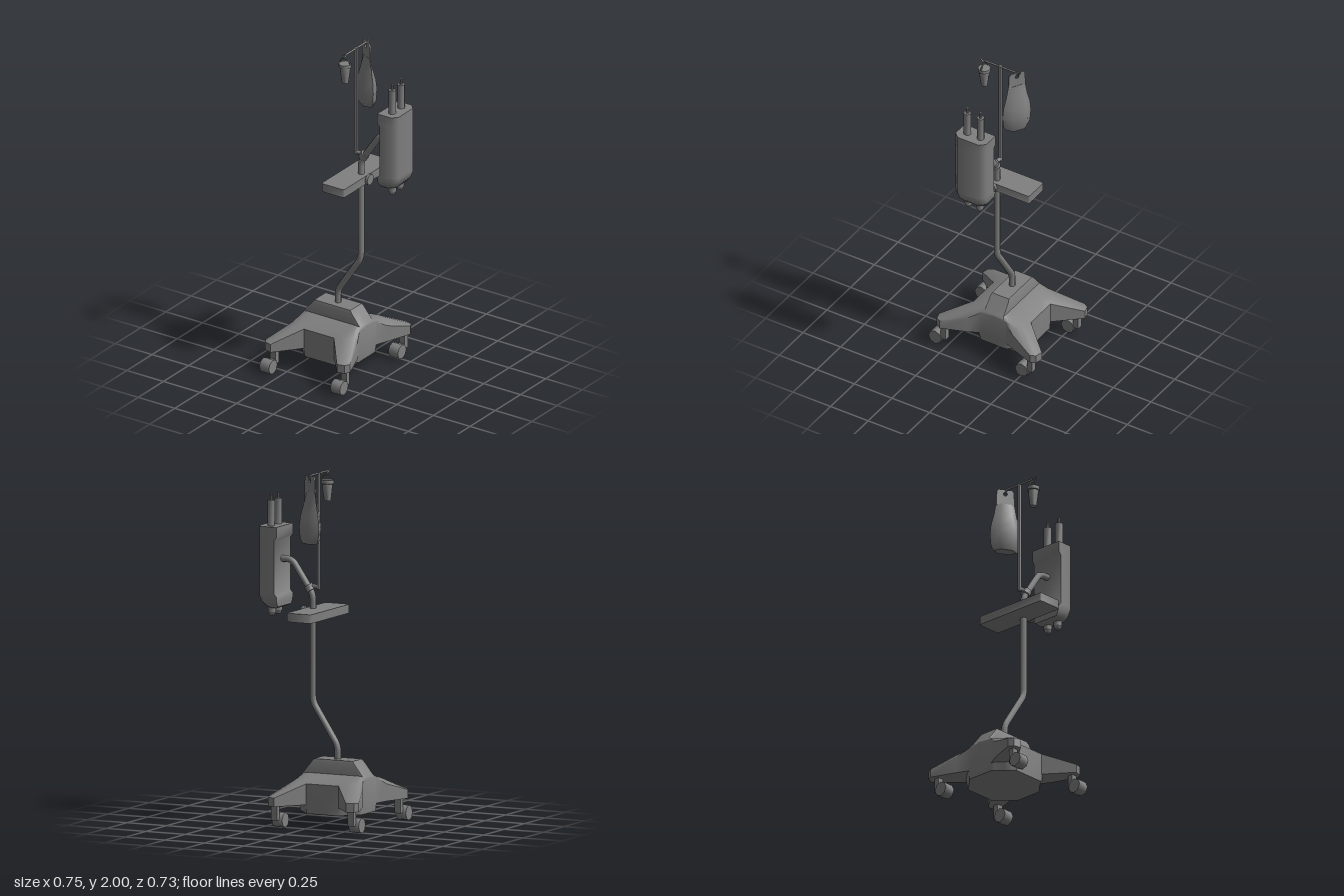
import * as THREE from 'three';
import { toCreasedNormals } from 'three/addons/utils/BufferGeometryUtils.js';

const V = (x, y, z) => new THREE.Vector3(x, y, z);
const material = new THREE.MeshStandardMaterial({ color: 0x808080 });
const thin = new THREE.MeshStandardMaterial({ color: 0x808080, side: THREE.DoubleSide });

// Skins closed rings (counter-clockwise from above, bottom to top) and caps both ends.
function loft(rings, crease = 0.9) {
  const n = rings[0].length, pos = [], idx = [];
  rings.forEach(r => r.forEach(p => pos.push(p.x, p.y, p.z)));
  for (let k = 0; k < rings.length - 1; k++) {
    for (let i = 0; i < n; i++) {
      const j = (i + 1) % n, a = k * n, b = a + n;
      idx.push(a + i, a + j, b + j, a + i, b + j, b + i);
    }
  }
  for (const k of [0, rings.length - 1]) {
    const c = rings[k].reduce((s, p) => s.add(p), V(0, 0, 0)).divideScalar(n);
    const ci = pos.length / 3;
    pos.push(c.x, c.y, c.z);
    for (let i = 0; i < n; i++) {
      const a = k * n + i, b = k * n + (i + 1) % n;
      if (k) idx.push(ci, a, b); else idx.push(ci, b, a);
    }
  }
  const g = new THREE.BufferGeometry();
  g.setAttribute('position', new THREE.Float32BufferAttribute(pos, 3));
  g.setIndex(idx);
  return toCreasedNormals(g.toNonIndexed(), crease);
}

// Mirrors a quarter outline [u, w, y], running from the z axis to the x axis, into a full ring.
function fullRing(q) {
  const back = [...q].reverse().slice(1);
  const half = [...q, ...back.map(([u, w, y]) => [u, -w, y])];
  const other = half.slice(1, -1).reverse().map(([u, w, y]) => [-u, w, y]);
  return [...half, ...other].map(([u, w, y]) => V(u, y, w));
}

export function createModel() {
  const root = new THREE.Group();
  const add = (name, geometry, x = 0, y = 0, z = 0, mat = material) => {
    const m = new THREE.Mesh(geometry, mat);
    m.name = name;
    m.position.set(x, y, z);
    root.add(m);
    return m;
  };
  const cyl = (name, r1, r2, h, x, y, z, sides = 8) =>
    add(name, toCreasedNormals(new THREE.CylinderGeometry(r1, r2, h, sides).toNonIndexed(), 0.9), x, y, z);
  const rod = (name, points, r, sides = 8) => {
    const path = new THREE.CurvePath();
    for (let i = 1; i < points.length; i++) path.add(new THREE.LineCurve3(points[i - 1], points[i]));
    return add(name, new THREE.TubeGeometry(path, (points.length - 1) * 6, r, sides), 0, 0, 0, thin);
  };
  const CX = -0.0875, CZ = -0.02;

  // Four-legged base cover: belly flush with the four side panels, legs, shoulder and hump
  const belly = [[0, .188, .08], [.1, .188, .08], [.125, .16, .08], [.145, .137, .08],
    [.165, .115, .08], [.185, .095, .08], [.196, .083, .08], [.196, 0, .08]];
  const legRoot = [[0, .19, .125], [.1025, .19, .125], [.135, .17, .128], [.155, .147, .128],
    [.175, .125, .128], [.19, .105, .128], [.2, .085, .125], [.2, 0, .125]];
  const edge = [[0, .19, .25], [.1025, .19, .25], [.2275, .342, .18], [.272, .33, .18],
    [.2875, .30, .18], [.2325, .15, .228], [.2, .085, .27], [.2, 0, .28]];
  const hem = edge.map(([u, w]) => [u, w, .13]);
  const shoulder = [[0, .13, .275], [.095, .14, .275], [.15, .18, .262], [.175, .18, .26],
    [.2, .155, .258], [.2, .11, .268], [.198, .07, .28], [.198, 0, .285]];
  const foot = [[0, .064, .295], [.08, .064, .295], [.13, .064, .295], [.15, .064, .295],
    [.165, .064, .295], [.18, .064, .293], [.19, .062, .291], [.192, 0, .291]];
  const hump = [0, .07, .1, .115, .122, .13, .135].map(u => [u, .061, .36]).concat([[.136, 0, .36]]);
  const crown = hump.map(([u, w]) => [u * .91, w * .92, .375]);
  add('baseCover', loft([belly, legRoot, hem, edge, shoulder, foot, hump, crown].map(fullRing), .75), CX, 0, CZ);

  // Casters, wheels trailing toward the front
  for (const sx of [-1, 1]) {
    for (const sz of [-1, 1]) {
      const x = CX + sx * .2425, z = sz > 0 ? .32 : -.255;
      cyl('casterWheel', .043, .043, .065, x, .043, z).rotation.z = Math.PI / 2;
      add('casterStem', new THREE.BoxGeometry(.038, .09, .032), x + .007, .09, z - .05);
      add('casterFork', new THREE.BoxGeometry(.03, .03, .06), x + .007, .06, z - .03);
    }
  }

  // Bent main pole, each bend rounded with a quadratic curve
  const corners = [V(CX, .36, CZ), V(CX, .45, CZ), V(.07, .69, CZ), V(.07, 1.3, CZ), V(.2, 1.49, CZ), V(.28, 1.49, CZ)];
  const pole = new THREE.CurvePath();
  let start = corners[0];
  for (let i = 1; i < corners.length - 1; i++) {
    const c = corners[i];
    const a = c.clone().add(corners[i - 1].clone().sub(c).setLength(.035));
    const b = c.clone().add(corners[i + 1].clone().sub(c).setLength(.035));
    pole.add(new THREE.LineCurve3(start, a));
    pole.add(new THREE.QuadraticBezierCurve3(a, c, b));
    start = b;
  }
  pole.add(new THREE.LineCurve3(start, corners[5]));
  add('mainPole', new THREE.TubeGeometry(pole, 120, .019, 8), 0, 0, 0, thin);

  // Tray with slightly clipped corners and its clamp knob
  const tray = [[-.033, .216], [.107, .216], [.114, .209], [.114, -.253], [.107, -.26], [-.033, -.26], [-.04, -.253], [-.04, .209]];
  add('tray', loft([1.17, 1.22].map(y => tray.map(([x, z]) => V(x, y, z)))));
  cyl('clampShaft', .012, .012, .03, .115, 1.197, CZ).rotation.z = Math.PI / 2;
  cyl('clampKnob', .033, .033, .016, .127, 1.197, CZ + .001).rotation.z = Math.PI / 2;

  // Pump housing with recessed back and rounded lower end: [y, back x, front x, half depth]
  const levels = [[1.215, .268, .325, .07], [1.225, .252, .345, .082], [1.25, .25, .364, .097], [1.285, .25, .375, .1025],
    [1.3, .266, .375, .1025], [1.6, .266, .375, .1025], [1.62, .25, .375, .1025], [1.68, .25, .375, .1025]];
  add('pumpHousing', loft(levels.map(([y, a, b, h]) => [[a, h], [b - .03, h], [b, h - .033],
    [b, .033 - h], [b - .03, -h], [a, -h]].map(([x, z]) => V(x, y, z + CZ)))));
  for (const s of [-1, 1]) {
    const z = CZ + s * .044;
    cyl('pumpPlunger', .022, .022, .145, .313, 1.7525, z);
    cyl('plungerStem', .006, .009, .025, .313, 1.835, z);
    cyl('plungerTip', .008, .008, .013, .313, 1.852, z);
    cyl('pumpPort', .024, .024, .028, .31, 1.205, CZ + s * .038);
    cyl('pumpPortTip', .024, .014, .022, .31, 1.181, CZ + s * .038);
  }

  // Slim hanger pole with bracket
  cyl('hangerPole', .011, .011, .665, .035, 1.6625, CZ);
  rod('hangerBracket', [V(.035, 1.345, CZ), V(.095, 1.345, CZ)], .012);
  cyl('bracketCollar', .027, .027, .035, .09, 1.335, CZ).rotation.z = -.6;

  // Cross bar with forked hook ends
  rod('crossBar', [V(.035, 1.99, -.125), V(.035, 1.99, .085)], .006, 6);
  rod('frontHook', [V(.035, 1.995, .112), V(.035, 1.975, .09), V(.035, 1.99, .07)], .005, 6);
  rod('backHook', [V(.035, 1.995, -.15), V(.035, 1.975, -.128), V(.035, 1.99, -.108)], .005, 6);

  // Tapered bottle with a bail handle
  const bottle = [[0, 1.82], [.019, 1.82], [.029, 1.9], [.029, 1.915], [.036, 1.918], [.036, 1.938], [0, 1.94]]
    .map(([x, y]) => new THREE.Vector2(x, y));
  add('bottle', toCreasedNormals(new THREE.LatheGeometry(bottle, 12).toNonIndexed(), .6), .035, 0, .088, thin);
  add('bottleHandle', new THREE.TorusGeometry(.034, .004, 6, 16, Math.PI), .035, 1.936, .088);

  // Fluid bag: hexagonal sections [y, half width, half thickness] and a flat tab with a hole
  const bag = [[1.605, .068, .032], [1.63, .084, .041], [1.7, .09, .045], [1.76, .084, .039], [1.83, .066, .022], [1.9, .054, .006]];
  const body = add('fluidBag', loft(bag.map(([y, w, t]) => [[-.5, 1], [.5, 1], [1, 0], [.5, -1], [-.5, -1], [-1, 0]]
    .map(([a, b]) => V(a * w, y, b * t))), 1.1), .033, 0, -.127);
  body.rotation.y = -.53;
  const tab = new THREE.Shape([[-.054, 1.89], [.054, 1.89], [.05, 1.975], [.04, 1.988], [-.04, 1.988], [-.05, 1.975]]
    .map(([x, y]) => new THREE.Vector2(x, y)));
  tab.holes.push(new THREE.Path().absarc(0, 1.962, .012, 0, Math.PI * 2, true));
  const flap = new THREE.ExtrudeGeometry(tab, { depth: .008, bevelEnabled: false, curveSegments: 6 });
  flap.translate(0, 0, -.004);
  add('bagTab', flap, .033, 0, -.127).rotation.y = -.53;

  return root;
}
